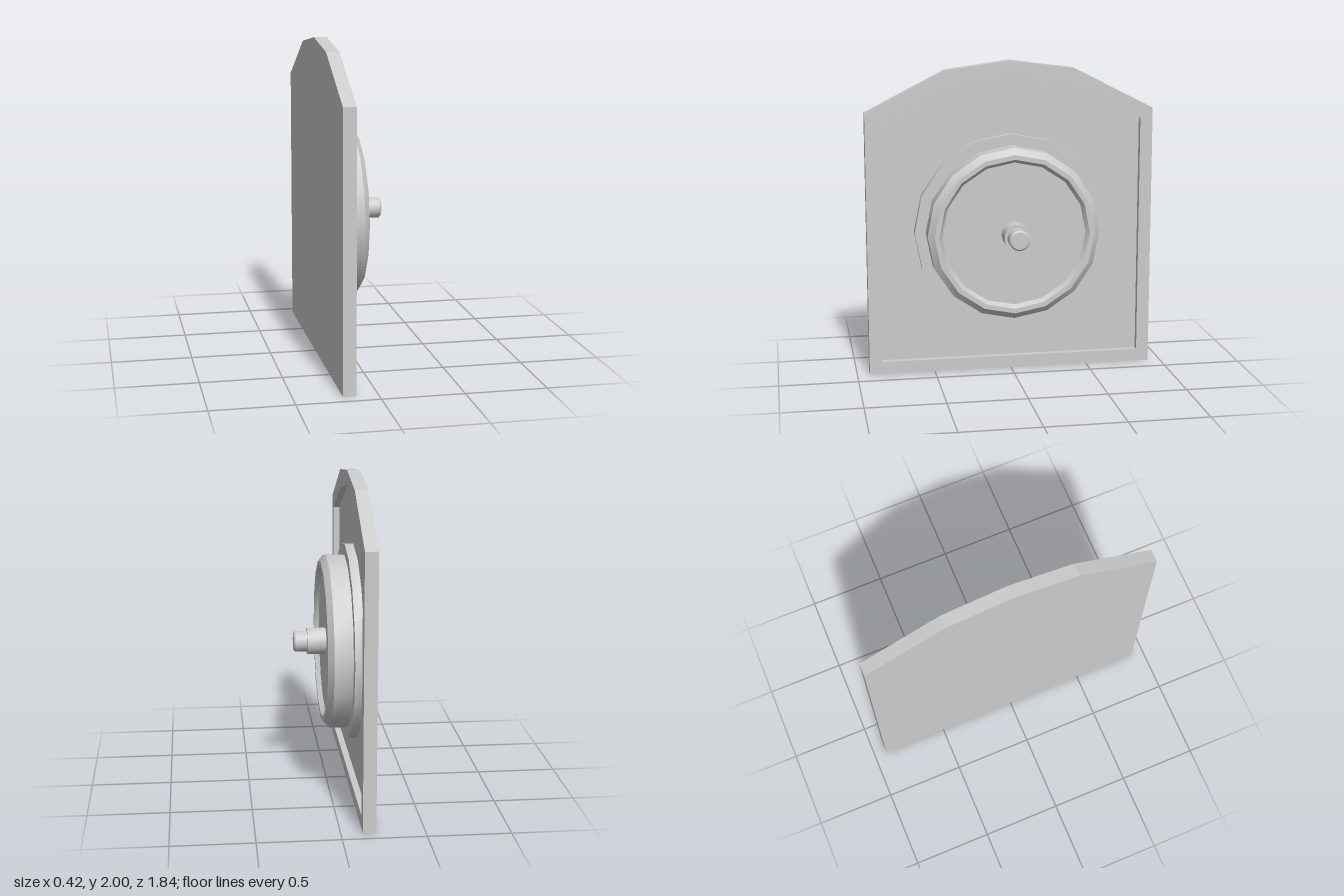
import * as THREE from 'three';
import { toCreasedNormals } from 'three/addons/utils/BufferGeometryUtils.js';

const material = new THREE.MeshStandardMaterial({ color: 0xcccccc });
const AXIS_Y = 0.92;

// Mirrors a half outline (bottom to peak) into a closed list of points
function mirrored(half) {
  const right = half.map(([x, y]) => new THREE.Vector2(x, y));
  const left = half.filter(([x]) => x > 0).reverse().map(([x, y]) => new THREE.Vector2(-x, y));
  return [...right, ...left];
}

// Extrudes a shape along +x, starting at the given x
function slab(name, shape, x, depth) {
  const geometry = new THREE.ExtrudeGeometry(shape, { depth, bevelEnabled: false });
  geometry.rotateY(Math.PI / 2).translate(x, 0, 0);
  const mesh = new THREE.Mesh(geometry, material);
  mesh.name = name;
  return mesh;
}

// Turns a profile of [radius, x] pairs around the horizontal axis
function turned(name, profile, sides) {
  const points = profile.map(([r, x]) => new THREE.Vector2(r, x));
  const lathe = new THREE.LatheGeometry(points, sides);
  lathe.rotateZ(-Math.PI / 2).translate(0, AXIS_Y, 0);
  const mesh = new THREE.Mesh(toCreasedNormals(lathe, 0.55), material);
  mesh.name = name;
  return mesh;
}

export function createModel() {
  const group = new THREE.Group();
  group.name = 'wallPlateWithDrum';

  const outer = mirrored([[0.92, 0], [0.92, 1.685], [0.41, 1.945], [0, 2]]);
  const inner = mirrored([[0.84, 0.08], [0.84, 1.62], [0.38, 1.83], [0, 1.91]]);

  // Back plate and the raised border around its recess
  group.add(slab('backPlate', new THREE.Shape(outer), -0.21, 0.04));
  const border = new THREE.Shape(outer);
  border.holes.push(new THREE.Path(inner));
  group.add(slab('raisedBorder', border, -0.17, 0.04));

  // Flange against the plate
  group.add(turned('flange', [[0.62, -0.17], [0.62, -0.115], [0.5, -0.115]], 16));

  // Drum with a chamfered rim and a sunken face
  group.add(turned('drum', [
    [0.55, -0.17], [0.55, 0], [0.51, 0.035], [0.48, 0.035], [0.458, 0.005], [0, 0.005],
  ], 16));

  // Stepped shaft with a chamfered tip
  group.add(turned('shaft', [
    [0.083, 0], [0.083, 0.122], [0.065, 0.122], [0.065, 0.197], [0.055, 0.207], [0, 0.207],
  ], 24));

  return group;
}
